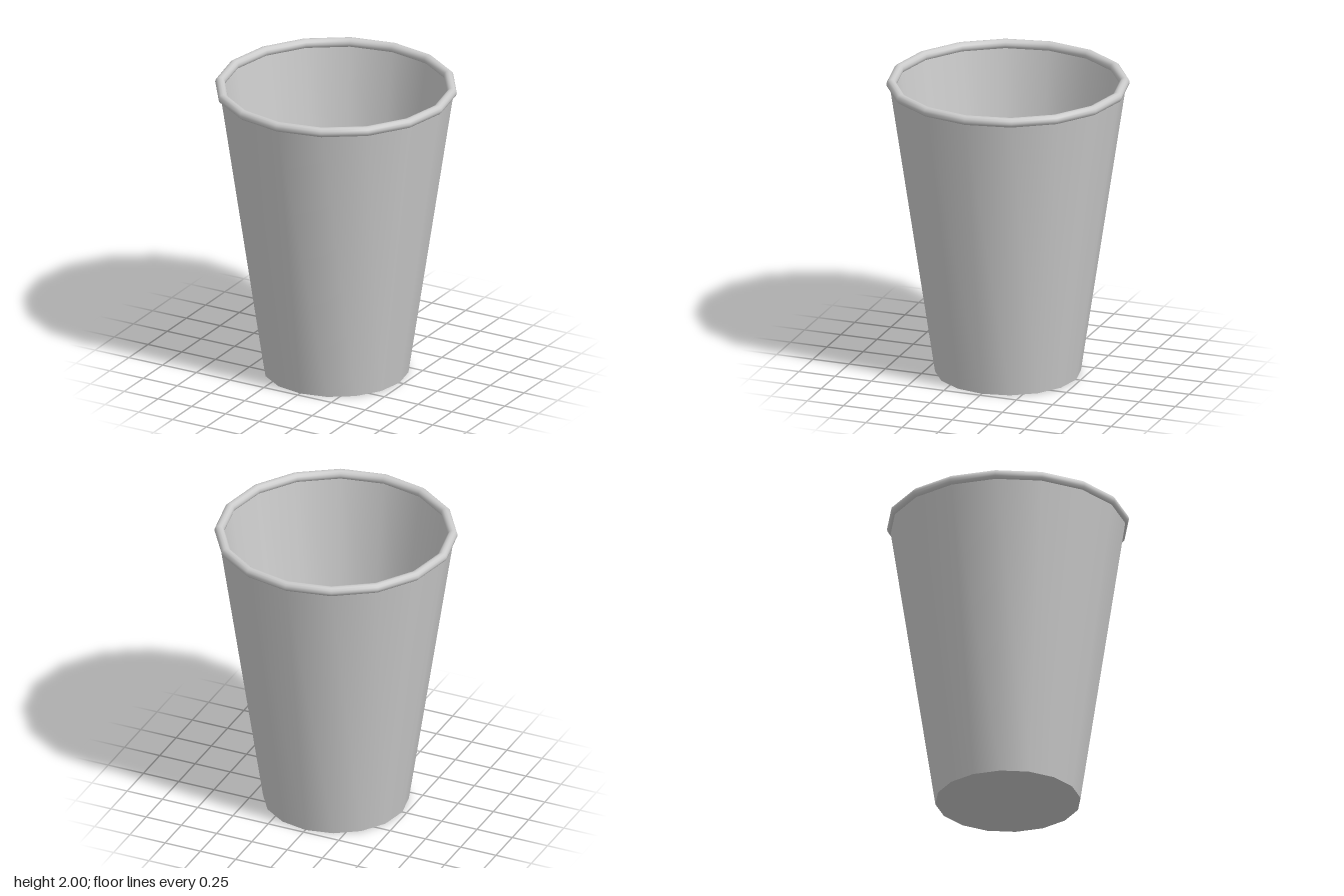
import * as THREE from 'three';

const SIDES = 16;
const material = new THREE.MeshStandardMaterial({ color: 0xcccccc });

export function createModel() {
  const cup = new THREE.Group();
  cup.name = 'cup';

  const add = (name, geometry, y = 0) => {
    const mesh = new THREE.Mesh(geometry, material);
    mesh.name = name;
    mesh.position.y = y;
    cup.add(mesh);
  };
  const lathe = (...profile) =>
    new THREE.LatheGeometry(profile.map(([r, y]) => new THREE.Vector2(r, y)), SIDES);

  // tapered walls: the outer profile runs up, the inner one down, so each faces its open side
  add('outerWall', lathe([0.47, 0], [0.764, 1.97]));
  add('innerWall', lathe([0.737, 1.97], [0.6, 1.05], [0.445, 0.03]));

  // underside and inside floor
  add('base', lathe([0, 0], [0.47, 0]));
  add('floor', lathe([0.445, 0], [0, 0]), 0.03);

  // rolled lip
  add('rim', new THREE.TorusGeometry(0.752, 0.032, 12, SIDES).rotateX(Math.PI / 2), 1.968);

  return cup;
}
